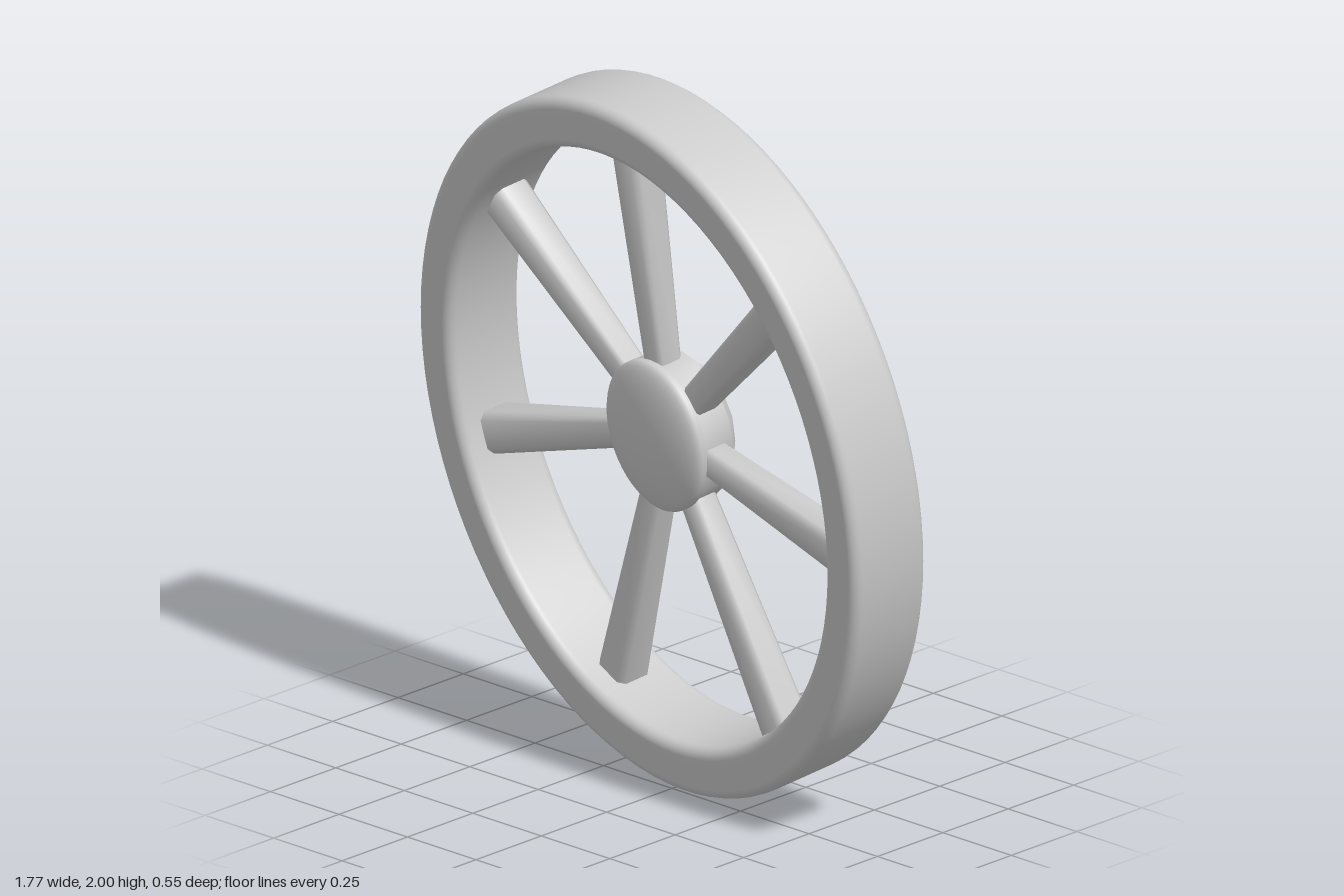
import * as THREE from 'three';
import { toCreasedNormals } from 'three/addons/utils/BufferGeometryUtils.js';

const SQUASH = 0.886; // the wheel is slightly oval
const HUB_RISE = 0.015;
const material = new THREE.MeshStandardMaterial({ color: 0xcccccc });

const lathe = (points, sides) =>
  new THREE.LatheGeometry(points.map(([r, z]) => new THREE.Vector2(r, z)), sides).rotateX(Math.PI / 2);

// Closed rim section with rounded corners, running counter-clockwise
function rimProfile(inner, outer, half, radius) {
  const points = [[outer, 0]];
  const corners = [[outer - radius, half - radius], [inner + radius, half - radius],
    [inner + radius, radius - half], [outer - radius, radius - half]];
  corners.forEach(([r, z], i) => {
    for (let k = 0; k <= 5; k++) {
      const a = (i + k / 5) * Math.PI / 2;
      points.push([r + radius * Math.cos(a), z + radius * Math.sin(a)]);
    }
    if (i === 1) points.push([inner, 0]);
  });
  points.push([outer, 0]);
  return points;
}

// Chamfered square bar that widens from hub to rim
function spokeGeometry(start, end) {
  const c = 0.68;
  const section = new THREE.Shape([[1, -c], [1, c], [c, 1], [-c, 1], [-1, c], [-1, -c], [-c, -1], [c, -1]]
    .map(([x, y]) => new THREE.Vector2(x, y)));
  const length = end - start;
  const g = new THREE.ExtrudeGeometry(section, { depth: length, bevelEnabled: false });
  const p = g.attributes.position;
  for (let i = 0; i < p.count; i++) {
    const t = p.getZ(i) / length;
    p.setXY(i, p.getX(i) * (0.042 + 0.018 * t), p.getY(i) * (0.04 + 0.015 * t));
  }
  return toCreasedNormals(g.rotateX(-Math.PI / 2).translate(0, start, 0), 0.9);
}

export function createModel() {
  const model = new THREE.Group();
  model.name = 'spokedWheel';
  const wheel = new THREE.Group();
  wheel.name = 'tiltedWheel';
  wheel.position.y = 1;
  wheel.rotation.set(0.125, -0.103, 0.042);
  model.add(wheel);

  const add = (name, geometry, rise = 0) => {
    const mesh = new THREE.Mesh(geometry.scale(SQUASH, 1, 1).translate(0, rise, 0), material);
    mesh.name = name;
    wheel.add(mesh);
  };

  add('rim', lathe(rimProfile(0.85, 0.994, 0.127, 0.03), 96));

  // Faceted hub barrel with a chamfered flat back
  const barrel = [[0, -0.1], [0.16, -0.1], [0.213, -0.055], [0.213, 0.05], [0, 0.05]];
  add('hubBarrel', toCreasedNormals(lathe(barrel, 14), 0.5), HUB_RISE);

  // Smooth shallow dome on the front of the hub
  const dome = [[0.215, 0.04]];
  for (let i = 0; i <= 10; i++) {
    const a = (i / 10) * Math.PI / 2;
    dome.push([0.215 * Math.cos(a), 0.055 + 0.045 * Math.sin(a)]);
  }
  add('hubDome', lathe(dome, 48), HUB_RISE);

  // Seven spokes
  for (let i = 0; i < 7; i++) {
    add('spoke' + (i + 1), spokeGeometry(0.17, 0.86).rotateZ(i * Math.PI * 2 / 7), HUB_RISE);
  }
  return model;
}
